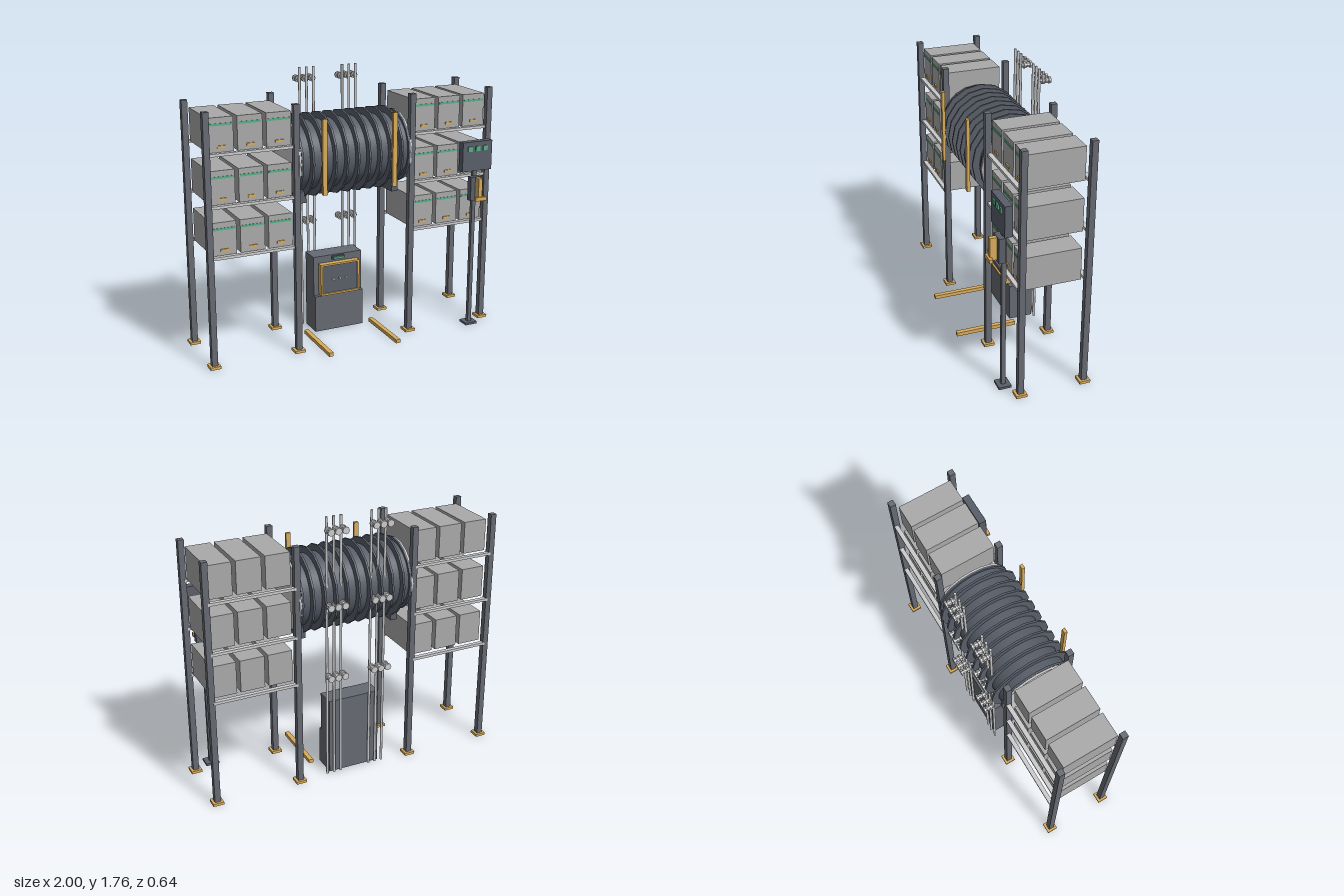
import * as THREE from 'three';

const mat = (color) => new THREE.MeshStandardMaterial({ color });
const flat = (color) => new THREE.MeshStandardMaterial({ color, flatShading: true });

export function createModel() {
  const root = new THREE.Group();
  const steel = mat(0x666a72), slate = mat(0x585e69), gold = mat(0xd9ac5c);
  const green = mat(0x58b088), crateGrey = mat(0xaaaaaa), light = mat(0xcccccc);
  const steelFlat = flat(0x585e69), lightFlat = flat(0xcccccc);

  const add = (parent, name, geo, material, x, y, z) => {
    const m = new THREE.Mesh(geo, material);
    m.name = name;
    m.position.set(x, y, z);
    parent.add(m);
    return m;
  };
  // box given by its minimum and maximum along each axis
  const box = (parent, name, material, x0, x1, y0, y1, z0, z1) =>
    add(parent, name, new THREE.BoxGeometry(x1 - x0, y1 - y0, z1 - z0), material,
      (x0 + x1) / 2, (y0 + y1) / 2, (z0 + z1) / 2);
  // round part lying along x or z
  const round = (parent, name, material, axis, r, length, sides, x, y, z) => {
    const g = new THREE.CylinderGeometry(r, r, length, sides);
    if (axis === 'x') g.rotateZ(Math.PI / 2); else g.rotateX(Math.PI / 2);
    return add(parent, name, g, material, x, y, z);
  };
  const group = (name) => {
    const g = new THREE.Group();
    g.name = name;
    root.add(g);
    return g;
  };

  // storage racks on both sides
  const zFront = 0.16, zBack = -0.254;
  for (const s of [-1, 1]) {
    const rack = group(s > 0 ? 'leftRack' : 'rightRack');
    for (const px of [0.965, 0.398]) {
      for (const pz of [zFront, zBack]) {
        add(rack, 'post', new THREE.BoxGeometry(0.038, 1.613, 0.038), steel, s * px, 0.8065, pz);
        add(rack, 'footPlate', new THREE.BoxGeometry(0.07, 0.018, 0.07), gold, s * px, 0.011, pz);
      }
    }
    for (const y of [0.72, 1.04, 1.36]) {
      for (const z of [zFront - 0.006, zBack - 0.007]) {
        add(rack, 'shelfRail', new THREE.BoxGeometry(0.55, 0.018, 0.028), light, s * 0.6815, y - 0.009, z);
      }
      for (const cx of [0.865, 0.682, 0.499]) {
        const x = s * cx;
        box(rack, 'crate', crateGrey, x - 0.079, x + 0.079, y, y + 0.21, -0.22, 0.139);
        box(rack, 'crateStripe', green, x - 0.071, x + 0.071, y + 0.16, y + 0.174, 0.136, 0.142);
        box(rack, 'crateHandle', gold, x - 0.025, x + 0.025, y + 0.026, y + 0.041, 0.136, 0.146);
      }
    }
  }

  // ribbed drum between the racks
  const drum = group('drum');
  const dy = 1.243, dz = -0.043;
  round(drum, 'drumBody', slate, 'x', 0.222, 0.74, 48, 0, dy, dz);
  for (let i = -4; i <= 4; i++) {
    round(drum, 'drumRib', steelFlat, 'x', 0.268, 0.013, 16, i * 0.0765, dy, dz);
  }
  for (const s of [-1, 1]) {
    round(drum, 'endFlange', steelFlat, 'x', 0.24, 0.014, 20, s * 0.368, dy, dz);
    round(drum, 'endCap', lightFlat, 'x', 0.236, 0.013, 20, s * 0.381, dy, dz);
    add(drum, 'cradle', new THREE.BoxGeometry(0.045, 0.075, 0.236), slate, s * 0.323, 1.0, -0.038);
    add(drum, 'frontStrap', new THREE.BoxGeometry(0.03, 0.475, 0.02), gold, s * 0.24, 1.282, 0.23);
    box(drum, 'floorRail', gold, s * 0.24 - 0.015, s * 0.24 + 0.015, 0, 0.025, -0.085, 0.32);
  }

  // conductor poles with spool insulators behind the drum
  const poles = group('poles');
  for (const px of [-0.2, -0.152, -0.104, 0.1, 0.148, 0.196]) {
    add(poles, 'pole', new THREE.CylinderGeometry(0.0085, 0.0085, 1.76, 12), light, px, 0.88, -0.245);
    for (const y of [0.722, 1.2, 1.682]) {
      round(poles, 'insulatorCore', lightFlat, 'z', 0.014, 0.07, 8, px, y, -0.282);
      for (const z of [-0.268, -0.289, -0.31]) {
        round(poles, 'insulatorDisc', lightFlat, 'z', z === -0.289 ? 0.018 : 0.023, 0.014, 8, px, y, z);
      }
    }
  }

  // floor cabinet with a framed control panel
  const cabinet = group('cabinet');
  box(cabinet, 'cabinetBase', steel, -0.175, 0.175, 0, 0.25, -0.235, -0.077);
  box(cabinet, 'cabinetTop', steel, -0.175, 0.175, 0.25, 0.52, -0.235, -0.104);
  box(cabinet, 'panel', slate, -0.13, 0.13, 0.265, 0.46, -0.104, -0.072);
  for (const s of [-1, 1]) {
    add(cabinet, 'frameSide', new THREE.BoxGeometry(0.012, 0.218, 0.042), gold, s * 0.134, 0.364, -0.081);
    add(cabinet, 'frameEdge', new THREE.BoxGeometry(0.28, 0.012, 0.042), gold, 0, 0.364 + s * 0.103, -0.081);
  }
  for (const x of [-0.048, 0, 0.048]) {
    round(cabinet, 'knob', light, 'z', 0.008, 0.016, 12, x, 0.362, -0.066);
  }
  box(cabinet, 'lampHolder', slate, -0.045, 0.045, 0.488, 0.512, -0.104, -0.094);
  box(cabinet, 'statusLamp', green, -0.038, 0.038, 0.493, 0.507, -0.094, -0.08);

  // control stand with screens and a lever
  const stand = group('controlStand');
  const sx = 0.836;
  box(stand, 'standBase', slate, sx - 0.044, sx + 0.044, 0, 0.015, 0.18, 0.262);
  box(stand, 'standPost', steel, sx - 0.013, sx + 0.013, 0, 1.2, 0.209, 0.235);
  box(stand, 'screenBox', slate, sx - 0.11, sx + 0.11, 1.085, 1.28, 0.21, 0.258);
  for (const x of [-0.058, 0, 0.056]) {
    box(stand, 'screen', green, sx + x - 0.016, sx + x + 0.016, 1.218, 1.25, 0.255, 0.266);
  }
  box(stand, 'leverBox', slate, sx - 0.046, sx + 0.046, 0.885, 1.045, 0.225, 0.266);
  box(stand, 'leverArm', gold, sx - 0.014, sx + 0.014, 0.897, 1.042, 0.266, 0.31);
  box(stand, 'leverGrip', gold, sx - 0.041, sx + 0.041, 0.895, 0.92, 0.3, 0.322);

  return root;
}
